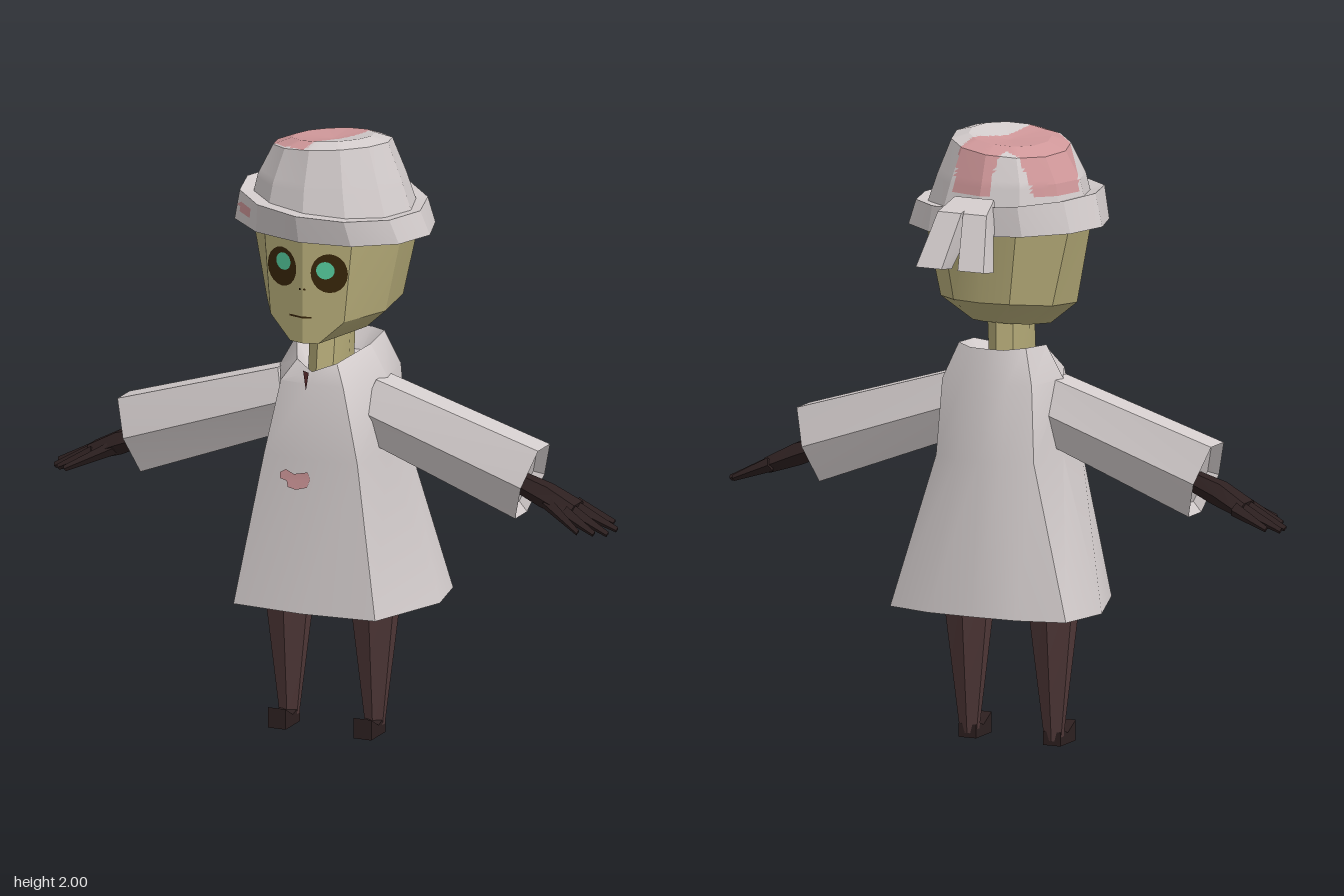
import * as THREE from 'three';
import { toCreasedNormals } from 'three/addons/utils/BufferGeometryUtils.js';

const mat = (name, color, side = THREE.FrontSide) => {
  const m = new THREE.MeshStandardMaterial({ color, side });
  m.name = name;
  return m;
};

// Skins a list of point rings; keep(x, y, z) can select only some faces.
function loft(rings, { start = false, end = false, flip = false, crease = 0.5, keep } = {}) {
  const tris = [];
  const n = rings[0].length;
  const mid = r => [0, 1, 2].map(k => r.reduce((s, p) => s + p[k], 0) / r.length);
  for (let j = 0; j < rings.length - 1; j++)
    for (let i = 0; i < n; i++) {
      const k = (i + 1) % n, a = rings[j], b = rings[j + 1];
      tris.push([a[i], a[k], b[k]], [a[i], b[k], b[i]]);
    }
  const cap = (r, up) => r.forEach((p, i) => {
    const q = r[(i + 1) % n];
    tris.push(up ? [p, q, mid(r)] : [q, p, mid(r)]);
  });
  if (start) cap(rings[0], false);
  if (end) cap(rings[rings.length - 1], true);

  const c = new THREE.Vector3(...mid(rings.flat()));
  const out = [];
  let volume = 0;
  for (const t of tris) {
    const [p, q, r] = t.map(v => new THREE.Vector3(...v).sub(c));
    volume += p.dot(q.clone().cross(r));
    const area = q.clone().sub(p).cross(r.clone().sub(p)).length();
    if (area > 1e-9 && (!keep || keep(...mid(t)))) out.push(t);
  }
  const inward = (volume < 0) !== flip;
  const g = new THREE.BufferGeometry();
  const pos = out.flatMap(t => (inward ? [t[0], t[2], t[1]] : t)).flat();
  g.setAttribute('position', new THREE.Float32BufferAttribute(pos, 3));
  return toCreasedNormals(g, crease);
}

// Completes a half ring, listed from front centre to back centre, by mirroring.
const mirror = half => half.concat(half.slice(1, -1).reverse().map(([x, y, z]) => [-x, y, z]));
const level = (y, half) => mirror(half.map(([x, z]) => [x, y, z]));

const oval = (n, rx, rz, cx, cz, height) => Array.from({ length: n }, (_, i) => {
  const a = i / n * Math.PI * 2;
  const x = cx + rx * Math.sin(a), z = cz + rz * Math.cos(a);
  return [x, height(x, z), z];
});

// Adds in-between points so that stains get fine outlines on flat facets.
function refine(rings, n) {
  const mix = (p, q, t) => p.map((v, k) => v + (q[k] - v) * t);
  const dense = rings.map(r => r.flatMap((p, i) =>
    Array.from({ length: n }, (_, s) => mix(p, r[(i + 1) % r.length], s / n))));
  const out = [dense[0]];
  for (let j = 1; j < dense.length; j++)
    for (let s = 1; s <= n; s++) out.push(dense[j - 1].map((p, i) => mix(p, dense[j][i], s / n)));
  return out;
}

// Limb through stations [x, y, z, half height, half depth], in the x-y plane.
function limb(stations, n, side) {
  const [a, b] = stations;
  const len = Math.hypot(b[0] - a[0], b[1] - a[1]);
  const ux = -(b[1] - a[1]) / len, uy = (b[0] - a[0]) / len;
  const rings = stations.map(([x, y, z, h, d]) => Array.from({ length: n }, (_, i) => {
    const t = i / n * Math.PI * 2, s = Math.sin(t) * h;
    return [side * (x + ux * s), y + uy * s, z + Math.cos(t) * d];
  }));
  return loft(rings, { start: true, end: true });
}

function inside(poly, x, y) {
  let hit = false;
  poly.forEach(([x1, y1], i) => {
    const [x2, y2] = poly[(i + 1) % poly.length];
    if ((y1 > y) !== (y2 > y) && x < (x2 - x1) * (y - y1) / (y2 - y1) + x1) hit = !hit;
  });
  return hit;
}

export function createModel() {
  const cloth = mat('off white cloth', 0xd3cccc);
  const stain = mat('pink stain', 0xcf9799, THREE.DoubleSide);
  const skin = mat('olive skin', 0xb5ab78);
  const trouser = mat('brown trousers', 0x513939);
  const dark = mat('dark leather', 0x2d2020);
  const eyeDark = mat('dark brown eye', 0x38260a, THREE.DoubleSide);
  const iris = mat('green iris', 0x55cb9d, THREE.DoubleSide);
  const red = mat('dark red shirt', 0x55282a, THREE.DoubleSide);

  const model = new THREE.Group();
  const add = (name, geometry, material) => {
    const m = new THREE.Mesh(geometry, material);
    m.name = name;
    model.add(m);
  };
  // Lays a flat geometry on a surface given as z(x, y).
  const drape = (g, z) => {
    const p = g.attributes.position;
    for (let i = 0; i < p.count; i++) p.setZ(i, z(p.getX(i), p.getY(i)));
    g.computeVertexNormals();
    return g;
  };
  const outline = pts => new THREE.ShapeGeometry(new THREE.Shape(pts.map(p => new THREE.Vector2(...p))));

  // Head and neck
  add('head', loft([
    mirror([[0, 1.355, 0.315], [0.05, 1.355, 0.3], [0.13, 1.37, 0.1], [0.1, 1.38, 0], [0.04, 1.385, -0.04], [0, 1.385, -0.04]]),
    mirror([[0, 1.43, 0.315], [0.13, 1.43, 0.276], [0.21, 1.44, 0.13], [0.2, 1.455, -0.03], [0.1, 1.47, -0.14], [0, 1.47, -0.155]]),
    level(1.76, [[0, 0.315], [0.16, 0.267], [0.275, 0.12], [0.27, -0.03], [0.14, -0.165], [0, -0.19]]),
  ], { start: true, end: true, crease: 0.35 }), skin);
  add('neck', loft([
    oval(8, 0.06, 0.12, -0.005, 0.08, () => 1.2),
    oval(8, 0.065, 0.11, -0.005, 0.065, () => 1.4),
  ]), skin);

  // Face details
  const face = lift => x => 0.315 - 0.3 * Math.abs(x) + lift;
  const disc = (x, y, rx, ry) => new THREE.CircleGeometry(1, 20).scale(rx, ry, 1).translate(x, y, 0);
  for (const [x, y, ix, iy] of [[-0.081, 1.598, -0.074, 1.617], [0.085, 1.592, 0.074, 1.602]]) {
    add('eye', drape(disc(x, y, 0.058, 0.065), face(0.003)), eyeDark);
    add('iris', drape(disc(ix, iy, 0.029, 0.029), face(0.006)), iris);
  }
  add('mouth', drape(new THREE.PlaneGeometry(0.08, 0.006, 8, 1).translate(-0.01, 1.442, 0), face(0.003)), eyeDark);
  for (const x of [-0.008, 0.008])
    add('nostril', drape(disc(x, 1.536, 0.004, 0.004), face(0.004)), eyeDark);

  // Coat with collar and dark lining
  const hem = level(0.45, [[0, 0.32], [0.25, 0.3], [0.352, 0.02], [0.315, -0.165], [0.16, -0.205], [0, -0.21]]);
  const waist = level(0.95, [[0, 0.265], [0.165, 0.25], [0.19, 0.07], [0.175, -0.115], [0.08, -0.155], [0, -0.16]]);
  add('coat', loft([
    hem, waist,
    level(1.2, [[0, 0.25], [0.11, 0.24], [0.19, 0.07], [0.16, -0.1], [0.08, -0.125], [0, -0.125]]),
    mirror([[0, 1.24, 0.24], [0.07, 1.265, 0.2], [0.13, 1.305, 0.07], [0.12, 1.315, -0.06], [0.06, 1.31, -0.1], [0, 1.31, -0.105]]),
    mirror([[0, 1.2, 0.18], [0.04, 1.22, 0.17], [0.07, 1.24, 0.07], [0.07, 1.24, -0.03], [0.04, 1.24, -0.06], [0, 1.24, -0.06]]),
  ], { end: true, crease: 0.6 }), cloth);
  add('coatLining', loft([hem, waist.map(([x, y, z]) => [x * 0.93, y, z * 0.93])], { end: true, flip: true }), dark);
  add('coatStain', drape(outline([[-0.1, 0.9], [-0.08, 0.912], [-0.05, 0.9], [0, 0.912], [0.01, 0.89],
    [0, 0.862], [-0.04, 0.85], [-0.07, 0.855], [-0.075, 0.875], [-0.1, 0.88]]),
  (x, y) => 0.27 + (0.95 - y) * 0.11 - Math.abs(x) * 0.09), stain);
  add('collarSlit', drape(outline([[-0.024, 1.245], [-0.014, 1.178], [-0.004, 1.24]]), () => 0.256), red);

  // Sleeves, hands and fingers
  for (const s of [1, -1]) {
    add('sleeve', limb([[0.14, 1.105, 0.075, 0.12, 0.095], [0.702, 0.912, 0.07, 0.144, 0.093],
      [0.67, 0.923, 0.07, 0.115, 0.075]], 6, s), cloth);
    add('palm', limb([[0.66, 0.905, 0.07, 0.035, 0.04], [0.75, 0.872, 0.07, 0.042, 0.05],
      [0.85, 0.83, 0.06, 0.03, 0.065]], 6, s), dark);
    for (const [x, y, z, tx, ty, tz] of [
      [0.83, 0.838, 0.01, 0.955, 0.785, -0.008], [0.84, 0.835, 0.042, 0.985, 0.775, 0.037],
      [0.84, 0.835, 0.08, 0.975, 0.772, 0.09], [0.83, 0.835, 0.11, 0.945, 0.78, 0.13],
      [0.76, 0.86, 0.1, 0.905, 0.79, 0.168]])
      add('finger', limb([[x, y, z, 0.024, 0.02], [tx, ty, tz, 0.01, 0.009]], 4, s), dark);
  }

  // Legs and shoes with upturned toes
  for (const x of [-0.168, 0.134]) {
    add('leg', loft([
      oval(6, 0.034, 0.018, x, 0.045, () => 0.015),
      oval(6, 0.09, 0.055, x, 0.043, () => 0.45),
      oval(6, 0.1, 0.06, x, 0.043, () => 0.6),
    ], { start: true, end: true }), trouser);
    const profile = [[0.03, 0], [0.142, 0], [0.142, 0.068], [0.085, 0.036], [0.06, 0.045], [0.03, 0.045]];
    const shoe = new THREE.ExtrudeGeometry(new THREE.Shape(profile.map(p => new THREE.Vector2(...p))),
      { depth: 0.062, bevelEnabled: false });
    add('shoe', shoe.rotateY(-Math.PI / 2).translate(x + 0.031, 0, 0), dark);
  }

  // Hat crown, split into clean cloth and stain
  const tilt = y => (x, z) => y + 0.09 * x + 0.08 * (z - 0.05);
  const crown = refine([
    oval(12, 0.275, 0.245, -0.005, 0.06, () => 1.76),
    oval(12, 0.245, 0.22, -0.01, 0.06, () => 1.86),
    oval(12, 0.195, 0.185, -0.008, 0.06, tilt(1.965)),
    oval(12, 0.135, 0.13, -0.005, 0.06, tilt(1.985)),
    oval(12, 0, 0, -0.005, 0.05, () => 1.97),
  ], 8);
  const blot = [[-0.25, -0.1], [-0.17, -0.11], [-0.06, -0.08], [-0.03, -0.18], [0.1, -0.2], [0.1, -0.1],
    [0.07, 0], [0.01, 0.09], [-0.03, 0.24], [-0.12, 0.2], [-0.21, 0.11], [-0.27, 0.03]];
  const blotted = (x, y, z) => y > 1.82 && inside(blot, x, z);
  add('hatCrown', loft(crown, { crease: 0.25, keep: (...p) => !blotted(...p) }), cloth);
  add('hatCrownStain', loft(crown, { crease: 0.25, keep: blotted }), stain);

  // Turned-up hat band
  const low = x => 1.7 - 0.03 * x, high = x => 1.793 - 0.075 * x;
  const band = refine([
    oval(12, 0.24, 0.21, 0, 0.06, x => low(x) + 0.03),
    oval(12, 0.335, 0.285, 0, 0.06, low),
    oval(12, 0.305, 0.3, 0, 0.07, high),
    oval(12, 0.255, 0.23, 0, 0.06, x => high(x) - 0.01),
  ], 6);
  const spot = (x, y, z) => z > 0.15 && Math.hypot((x + 0.232) / 0.035, (y - 1.76) / 0.02) < 1;
  add('hatBand', loft(band, { crease: 0.25, keep: (...p) => !spot(...p) }), cloth);
  add('hatBandStain', loft(band, { crease: 0.25, keep: spot }), stain);

  // Two knotted tails at the back of the hat
  for (const s of [1, -1]) {
    const stations = [[0.03, 1.775, -0.18, 0.04, 0.045, -0.01], [0.045, 1.745, -0.255, 0.042, 0.04, -0.025],
      [0.075, 1.61, -0.335, 0.046, 0.006, -0.037]];
    add('hatTail', loft(stations.map(([x, y, z, w, ny, nz]) =>
      [[-w, 1], [w, 1], [w, -1], [-w, -1]].map(([dx, k]) => [s * (x + dx), y + ny * k, z + nz * k])),
    { start: true, end: true }), cloth);
  }
  return model;
}
